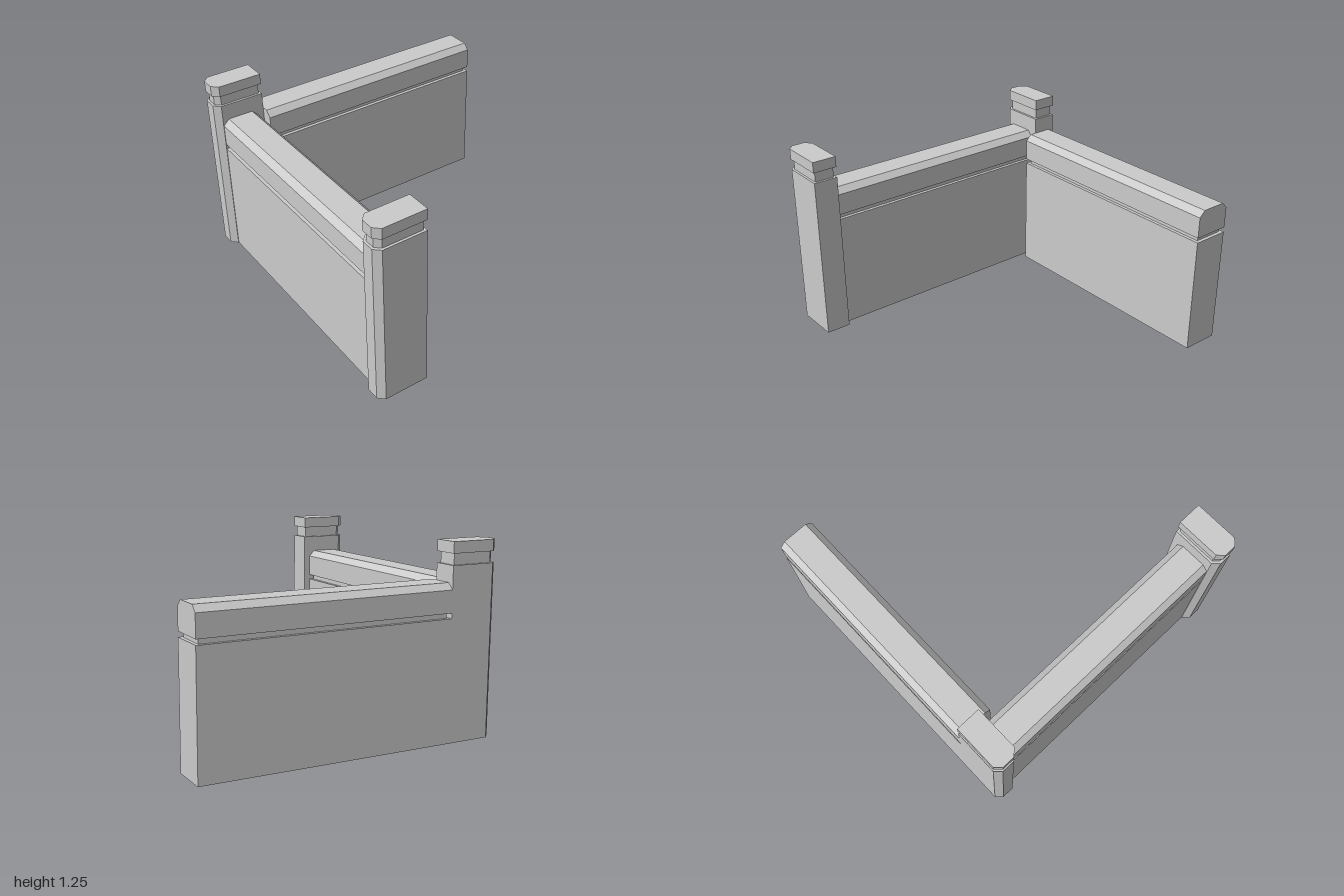
import * as THREE from 'three';

const material = new THREE.MeshStandardMaterial({ color: 0xcccccc, flatShading: true });

function extrude(name, points, depth) {
  const shape = new THREE.Shape(points.map(([x, y]) => new THREE.Vector2(x, y)));
  const mesh = new THREE.Mesh(new THREE.ExtrudeGeometry(shape, { depth, bevelEnabled: false }), material);
  mesh.name = name;
  return mesh;
}

// Vertical block with its two front corners cut off, inset on all sides
function postBlock(name, y0, y1, inset) {
  const w = 0.0825 - inset, d = 0.1675 - inset, c = 0.04 - inset * 0.4;
  const mesh = extrude(name, [[-w, d], [-w, -d + c], [-w + c, -d], [w - c, -d], [w, -d + c], [w, d]], y1 - y0);
  mesh.rotation.x = -Math.PI / 2; // shape -y becomes +z (front)
  mesh.position.y = y0;
  return mesh;
}

function createPost(name) {
  const post = new THREE.Group();
  post.name = name;
  post.add(
    postBlock('postBody', 0, 1.107, 0),
    postBlock('postNeck', 1.107, 1.178, 0.016),
    postBlock('postCap', 1.178, 1.25, 0),
  );
  return post;
}

// Wall running along z, centred on its own origin
function createWall(name, width, length) {
  const wall = new THREE.Group();
  wall.name = name;
  const block = (part, y0, y1, inset) => {
    const h = y1 - y0;
    const mesh = new THREE.Mesh(new THREE.BoxGeometry(width - 2 * inset, h, length - 2 * inset), material);
    mesh.name = part;
    mesh.position.y = y0 + h / 2;
    return mesh;
  };
  // Coping with both upper edges chamfered
  const w = width / 2, c = 0.04;
  const coping = extrude('coping', [[-w, 0.818], [w, 0.818], [w, 1 - c], [w - c, 1], [-w + c, 1], [-w, 1 - c]], length);
  coping.position.z = -length / 2;
  wall.add(block('wallPanel', 0, 0.785, 0), block('shadowGap', 0.785, 0.818, 0.023), coping);
  return wall;
}

export function createModel() {
  const model = new THREE.Group();
  model.name = 'cornerWall';

  for (const side of [-1, 1]) {
    const post = createPost(side > 0 ? 'leftPost' : 'rightPost');
    post.position.set(side * 0.9175, 0, 0.8325);
    model.add(post);
  }

  // Front wall between the posts
  const front = createWall('frontWall', 0.25, 1.67);
  front.rotation.y = Math.PI / 2;
  front.position.z = 0.8325;

  // Side wall running back from the right post
  const side = createWall('sideWall', 0.25, 1.665);
  side.position.set(-0.875, 0, -0.1675);

  model.add(front, side);
  return model;
}
